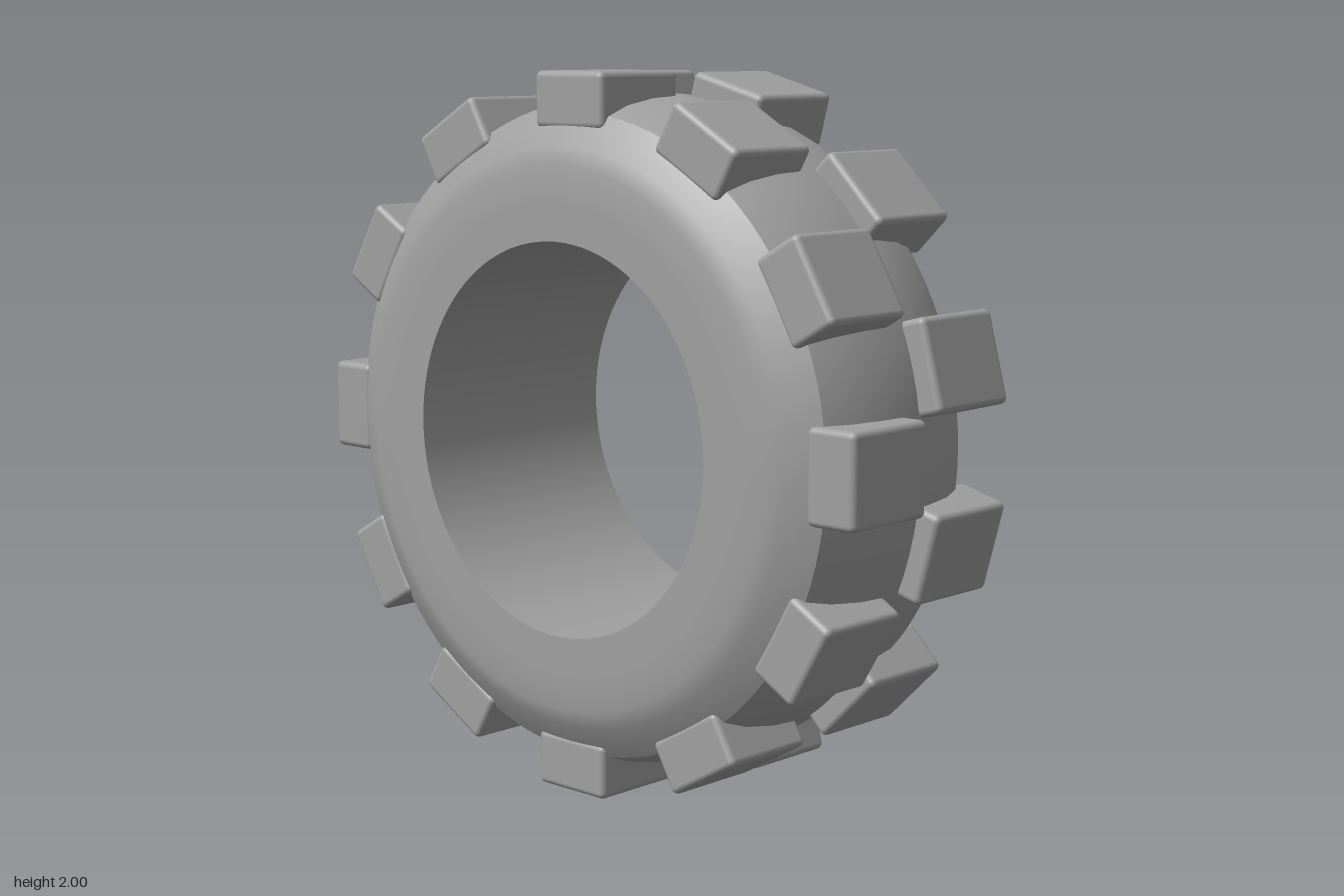
import * as THREE from 'three';
import { RoundedBoxGeometry } from 'three/addons/geometries/RoundedBoxGeometry.js';

const rubber = new THREE.MeshStandardMaterial({ color: 0xa0a0a0 });
rubber.name = 'grey rubber';

// Revolve [radius, z] points around the z axis
function ring(name, points) {
  const geo = new THREE.LatheGeometry(points.map(([r, z]) => new THREE.Vector2(r, z)), 96);
  geo.rotateX(Math.PI / 2);
  const mesh = new THREE.Mesh(geo, rubber);
  mesh.name = name;
  return mesh;
}

// Twelve tread blocks evenly spaced around the tyre
function blockRow(name, z, startAngle) {
  const row = new THREE.Group();
  row.name = name;
  const geo = new RoundedBoxGeometry(0.256, 0.155, 0.3, 3, 0.018);
  geo.translate(0, 0.9225, z);
  for (let i = 0; i < 12; i++) {
    const block = new THREE.Mesh(geo, rubber);
    block.name = 'treadBlock';
    block.rotation.z = startAngle + (i * Math.PI) / 6;
    row.add(block);
  }
  return row;
}

export function createModel() {
  const tyre = new THREE.Group();
  tyre.name = 'tyre';
  const wheel = new THREE.Group();
  wheel.name = 'tyreBody';
  wheel.position.y = 1;
  tyre.add(wheel);

  // Carcass: separate rings keep the edges between them sharp
  const side = [[0.545, 0.352], [0.65, 0.352], [0.75, 0.352], [0.8, 0.33], [0.85, 0.302], [0.89, 0.275]];
  const crown = [[0.89, 0.275], [0.918, 0.2], [0.935, 0.1], [0.94, 0]];
  const mirror = (pts) => pts.map(([r, z]) => [r, -z]);
  wheel.add(
    ring('frontSidewall', [...side].reverse()),
    ring('backSidewall', mirror(side)),
    ring('tread', [...mirror(crown), ...crown.slice(0, -1).reverse()]),
    ring('bore', [[0.545, 0.352], [0.545, -0.352]])
  );

  // Two staggered rows of blocks
  wheel.add(
    blockRow('frontBlocks', 0.152, 0),
    blockRow('backBlocks', -0.202, Math.PI / 12)
  );
  return tyre;
}
